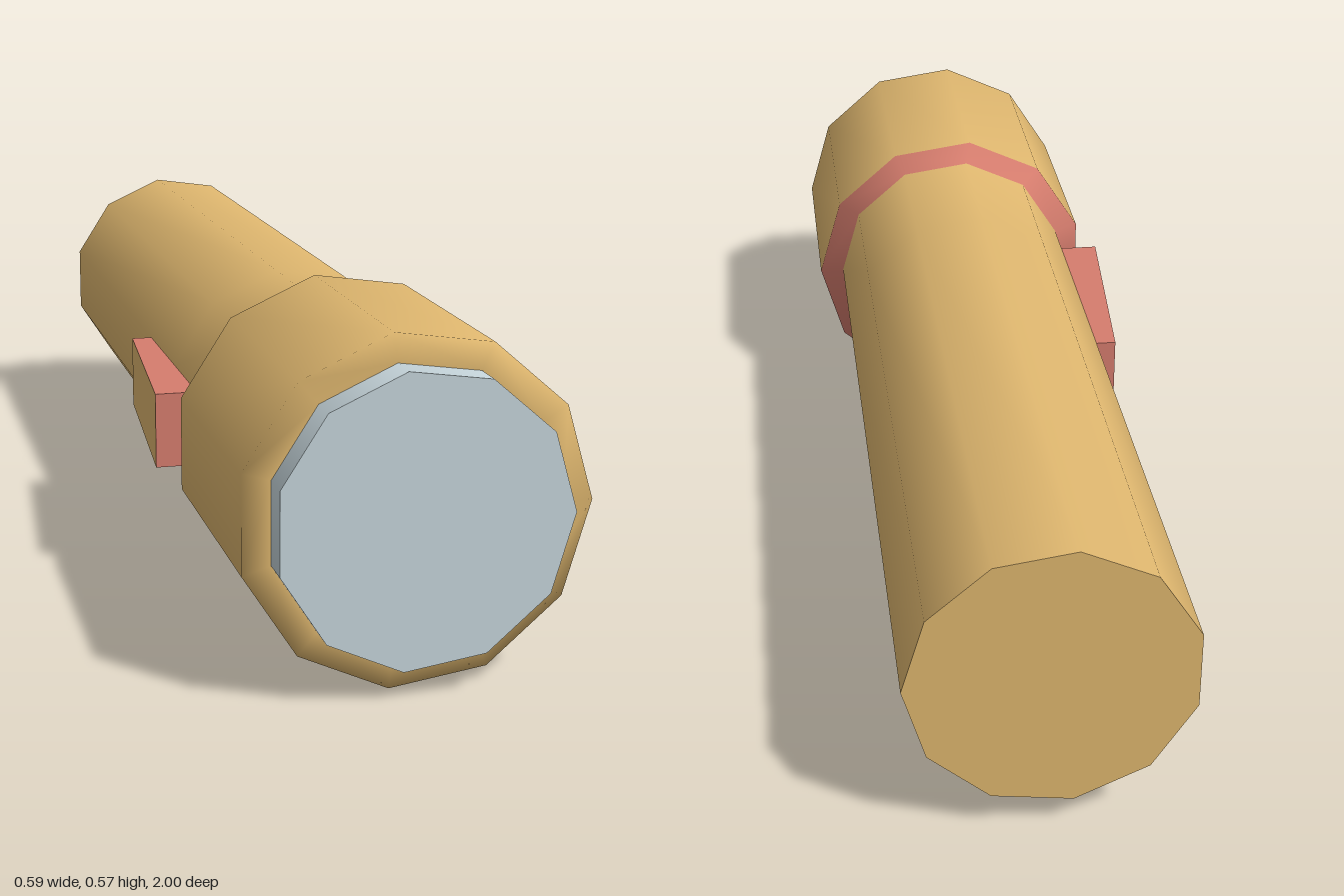
import * as THREE from 'three';

const SIDES = 11, CX = 0.007, CY = 0.283;
const R_BODY = 0.238, R_HEAD = 0.286;

export function createModel() {
  const mat = (name, color) => {
    const m = new THREE.MeshStandardMaterial({ color });
    m.name = name;
    return m;
  };
  const gold = mat('gold casing', 0xdfb76f);
  const pink = mat('pink trim', 0xd67d6e);
  const glass = mat('pale lens', 0xc6d5db);

  const model = new THREE.Group();
  model.name = 'flashlight';
  const add = (name, geometry, material, z = 0) => {
    const mesh = new THREE.Mesh(geometry, material);
    mesh.name = name;
    mesh.position.set(CX, CY, z);
    model.add(mesh);
    return mesh;
  };
  // Eleven-sided surface turned about the z axis, profile given as [radius, z]
  const turned = (profile) => new THREE.LatheGeometry(
    profile.map(([r, z]) => new THREE.Vector2(r, z)), SIDES, Math.PI / 2
  ).rotateX(Math.PI / 2);

  // Handle and head as one smooth casing; the step behind the head is pink
  const profile = [[R_BODY, -1], [R_BODY, 0.2], [R_BODY, 0.49],
    [R_HEAD, 0.49], [R_HEAD, 0.945], [R_BODY, 0.945]];
  const casing = turned(profile);
  const bands = profile.length - 1;
  for (let i = 0; i < SIDES; i++) {
    for (let j = 0; j < bands; j++) casing.addGroup((i * bands + j) * 6, 6, j === 2 ? 1 : 0);
  }
  add('casing', casing, [gold, pink]);

  // Flat end of the handle
  add('endCap', new THREE.CircleGeometry(R_BODY, SIDES).rotateX(Math.PI), gold, -1);

  // Lens rim and lens face
  add('lensRim', turned([[R_BODY, 0.945], [R_BODY, 1]]), glass);
  add('lensFace', new THREE.CircleGeometry(R_BODY, SIDES), glass, 1);

  // Wedge-shaped switch on the flat right side, gold on top with pink sides
  const wedge = new THREE.BoxGeometry(0.1, 0.133, 0.44);
  const p = wedge.attributes.position;
  for (let i = 0; i < p.count; i++) {
    const outerX = p.getZ(i) > 0 ? -0.295 : -0.259;
    p.setX(i, p.getX(i) < 0 ? outerX : -0.215);
  }
  wedge.computeVertexNormals();
  const button = add('switch', wedge, [gold, gold, pink, pink, pink, pink]);
  button.position.set(0, CY, 0.18);

  return model;
}
